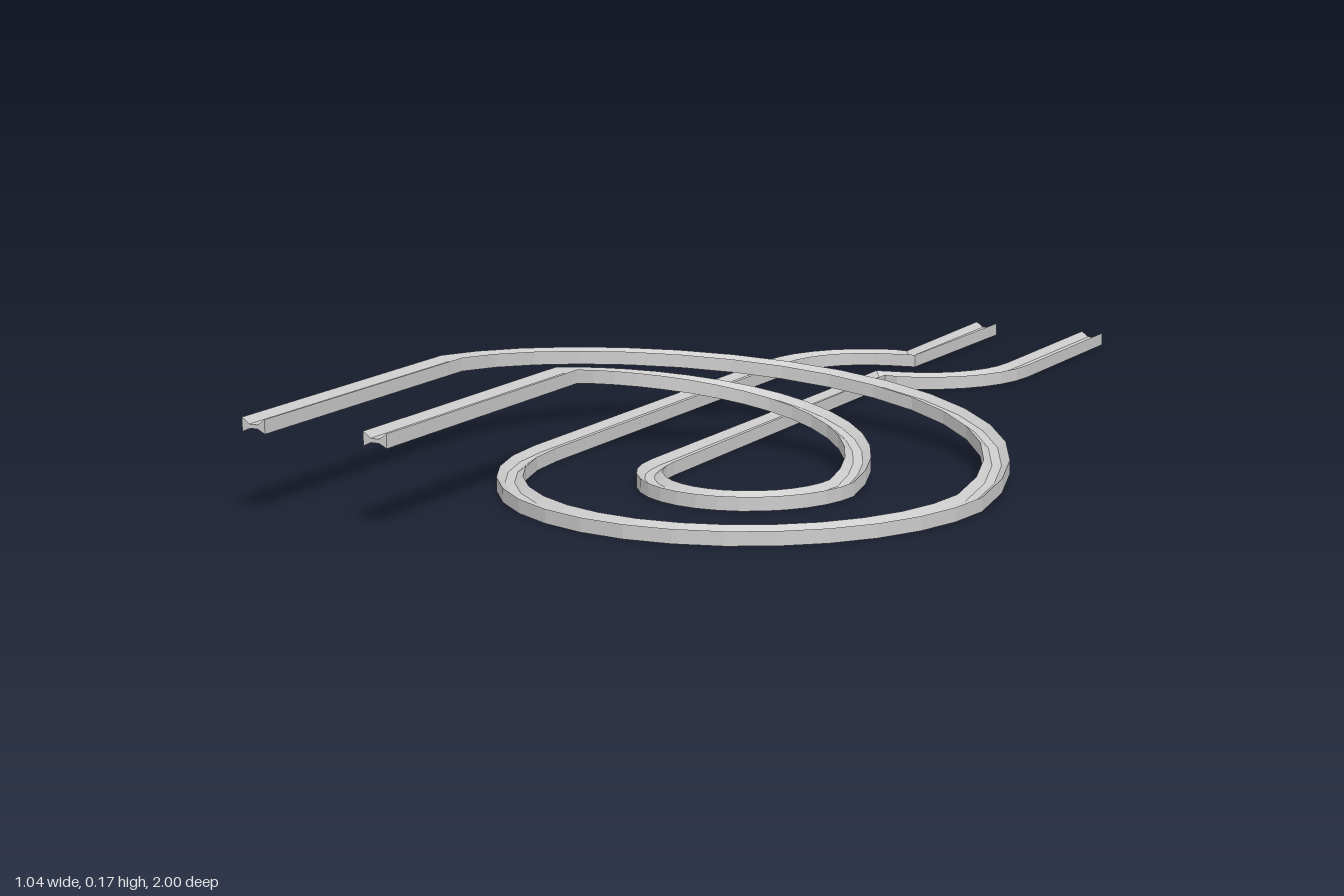
import * as THREE from 'three';

const W = 0.022;      // half width of a rail
const H = 0.024;      // rail height
const RISE = 0.142;   // height of the upper level
const Z0 = 0.42;      // z where the loops meet the straights

// Rail cross-section (right, up): grooved on top and underneath
const profile = [
  [-W, 0], [-0.008, 0.007], [0.008, 0.007], [W, 0],
  [W, H], [0.008, 0.014], [-0.008, 0.014], [-W, H],
].map(([x, y]) => new THREE.Vector2(x, y));

// Points on an arc in plan, heights going from y0 to y1
function arc(cx, cz, r, a0, a1, n, y0 = 0, y1 = y0) {
  return Array.from({ length: n + 1 }, (_, i) => {
    const t = i / n, a = (a0 + (a1 - a0) * t) * Math.PI;
    return new THREE.Vector3(cx + r * Math.cos(a), y0 + (y1 - y0) * t, cz + r * Math.sin(a));
  });
}

// Sweep the upright cross-section along a path, with capped ends
function sweep(path) {
  const pts = path.filter((p, i) => i === 0 || p.distanceTo(path[i - 1]) > 1e-4);
  const n = profile.length, pos = [], idx = [];
  const dir = (a, b) => new THREE.Vector3(b.x - a.x, 0, b.z - a.z).normalize();
  pts.forEach((p, i) => {
    const t = new THREE.Vector3();
    if (i > 0) t.add(dir(pts[i - 1], p));
    if (i < pts.length - 1) t.add(dir(p, pts[i + 1]));
    t.normalize();
    for (const q of profile) pos.push(p.x - t.z * q.x, p.y + q.y, p.z + t.x * q.x);
  });
  for (let i = 0; i < pts.length - 1; i++) {
    for (let j = 0; j < n; j++) {
      const a = i * n + j, b = i * n + (j + 1) % n;
      idx.push(a, a + n, b + n, a, b + n, b);
    }
  }
  const last = (pts.length - 1) * n;
  for (const [a, b, c] of THREE.ShapeUtils.triangulateShape(profile, [])) {
    idx.push(a, b, c, last + a, last + c, last + b);
  }
  const g = new THREE.BufferGeometry();
  g.setAttribute('position', new THREE.Float32BufferAttribute(pos, 3));
  g.setIndex(idx);
  const flat = g.toNonIndexed();
  flat.computeVertexNormals();
  return flat;
}

// Raised approach, descending half loop, then the level half loop
function spiral(rUpper, rLower, cxLower) {
  return [
    new THREE.Vector3(-rUpper, RISE, 1),
    ...arc(0, Z0, rUpper, 1, 2, 16, RISE, 0),
    ...arc(cxLower, Z0, rLower, 0, 1, 16),
  ];
}

export function createModel() {
  const group = new THREE.Group();
  const material = new THREE.MeshStandardMaterial({ color: 0xcccccc, flatShading: true });
  const add = (name, path) => {
    const mesh = new THREE.Mesh(sweep(path), material);
    mesh.name = name;
    group.add(mesh);
  };

  // Outer rail: ends in a quarter bend, a sharp corner and a short straight
  add('outerRail', [
    ...spiral(0.497, 0.403, 0.094),
    ...arc(-0.115, -0.44, 0.194, 1, 1.5, 8),
    new THREE.Vector3(-0.118, 0, -1),
  ]);

  // Inner rail: sharp corner first, then a quarter bend back to straight
  add('innerRail', [
    ...spiral(0.264, 0.17, 0.094),
    ...arc(-0.081, -0.627, 0.197, 0.5, 0, 8),
    new THREE.Vector3(0.116, 0, -1),
  ]);

  return group;
}
